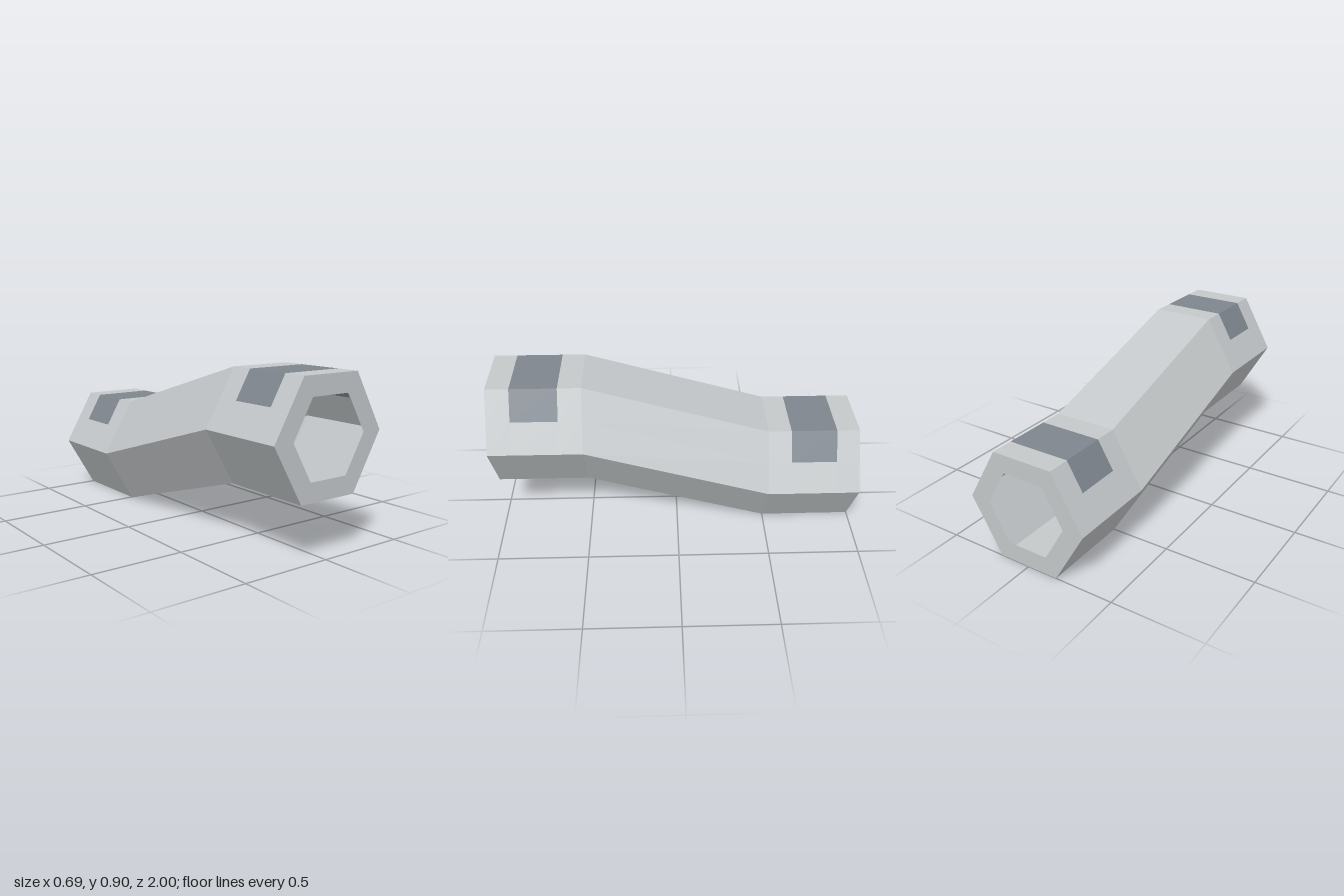
import * as THREE from 'three';

const R_OUT = 0.3 / Math.cos(Math.PI / 6);
const R_IN = 0.2 / Math.cos(Math.PI / 6);

// Hexagon with flat top and bottom, counter-clockwise seen from +z
function hexagon(r) {
  return Array.from({ length: 6 }, (_, i) =>
    new THREE.Vector2(r * Math.cos(i * Math.PI / 3), r * Math.sin(i * Math.PI / 3)));
}

// Flat-shaded quads joining two stations [z, centreY] over outline edges from..to
function skin(outline, front, back, from, to) {
  const pos = [];
  for (let i = from; i < to; i++) {
    const p = outline[i % outline.length];
    const q = outline[(i + 1) % outline.length];
    const at = (v, s) => [v.x, v.y + s[1], s[0]];
    const a0 = at(p, front), b0 = at(q, front), a1 = at(p, back), b1 = at(q, back);
    pos.push(...a0, ...a1, ...b1, ...a0, ...b1, ...b0);
  }
  const geo = new THREE.BufferGeometry();
  geo.setAttribute('position', new THREE.Float32BufferAttribute(pos, 3));
  geo.computeVertexNormals();
  return geo;
}

export function createModel() {
  const model = new THREE.Group();
  model.name = 'offsetHexTube';

  const shellGrey = new THREE.MeshStandardMaterial({ color: 0xc4c8ca, side: THREE.DoubleSide });
  shellGrey.name = 'shellGrey';
  const bandSlate = new THREE.MeshStandardMaterial({ color: 0x7f868e, side: THREE.DoubleSide });
  bandSlate.name = 'bandSlate';

  const add = (name, geo, mat) => {
    const mesh = new THREE.Mesh(geo, mat);
    mesh.name = name;
    model.add(mesh);
    return mesh;
  };

  // Outline with extra points halfway down both upper slopes, where the bands end
  const h = hexagon(R_OUT);
  const mid = (a, b) => a.clone().lerp(b, 0.5);
  const outline = [h[0], mid(h[0], h[1]), h[1], h[2], mid(h[2], h[3]), h[3], h[4], h[5]];

  // Thin shell: level ends joined by a sloping middle; bands are set flush in it
  const HIGH = 0.6, LOW = 0.3;
  const stations = [
    [1, HIGH], [0.875, HIGH], [0.625, HIGH], [0.5, HIGH],
    [-0.5, LOW], [-0.625, LOW], [-0.875, LOW], [-1, LOW],
  ];
  for (let s = 0; s < stations.length - 1; s++) {
    const [f, b] = [stations[s], stations[s + 1]];
    if (s === 1 || s === 5) {
      const end = s === 1 ? 'front' : 'back';
      add(end + 'Band', skin(outline, f, b, 1, 4), bandSlate);
      add(end + 'BandShell', skin(outline, f, b, 4, 9), shellGrey);
    } else {
      add(s === 3 ? 'slopedShell' : 'levelShell' + s, skin(outline, f, b, 0, 8), shellGrey);
    }
  }

  // Hexagonal rims closing both ends around the opening
  const rim = new THREE.Shape(hexagon(R_OUT));
  rim.holes.push(new THREE.Path(hexagon(R_IN)));
  const rimGeo = new THREE.ShapeGeometry(rim);
  add('frontRim', rimGeo, shellGrey).position.set(0, HIGH, 1);
  const backRim = add('backRim', rimGeo, shellGrey);
  backRim.position.set(0, LOW, -1);
  backRim.rotation.y = Math.PI;

  return model;
}
